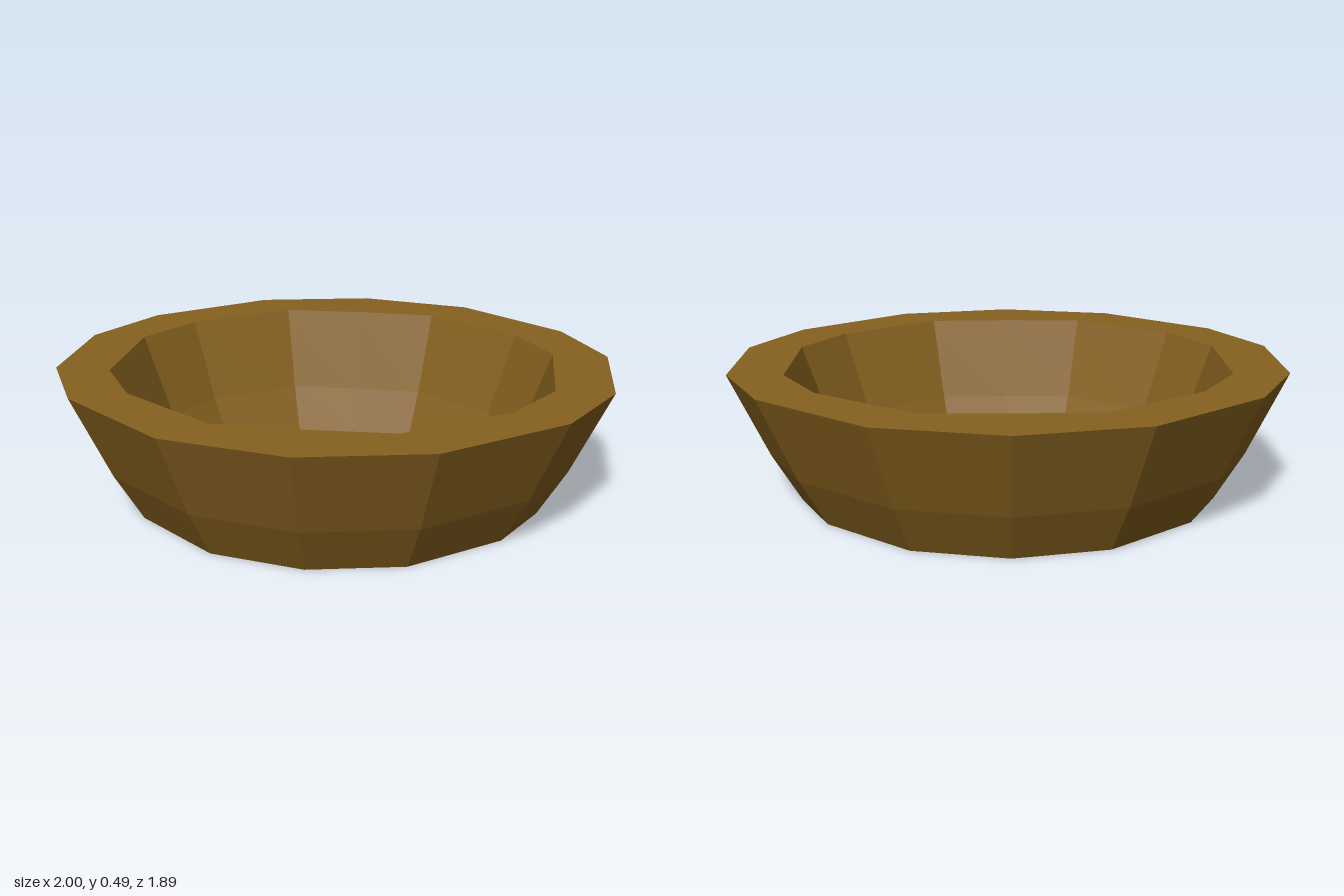
import * as THREE from 'three';

// Right half of each outline (x, z) at rim height, from back to front
const OUTER = [[0, -0.943], [0.44, -0.85], [0.838, -0.533], [1, -0.213]];
const INNER = [[0, -0.708], [0.307, -0.698], [0.655, -0.453], [0.797, -0.215]];

// Mirror a quarter outline into a closed 14-point ring, clockwise from above
function fullOutline(quarter) {
  const front = quarter.map(([x, z]) => [x, -z]).reverse();
  const half = [...quarter, ...front];
  const left = half.slice(1, -1).reverse().map(([x, z]) => [-x, z]);
  return [...half, ...left];
}

function ring(quarter, scale, y) {
  return fullOutline(quarter).map(([x, z]) => [x * scale, y, z * scale]);
}

// Flat-shaded skin through successive rings
function skin(name, rings, material) {
  const positions = [];
  for (let k = 0; k < rings.length - 1; k++) {
    const a = rings[k], b = rings[k + 1];
    for (let i = 0; i < a.length; i++) {
      const j = (i + 1) % a.length;
      for (const p of [a[i], b[i], b[j], a[i], b[j], a[j]]) positions.push(...p);
    }
  }
  const geometry = new THREE.BufferGeometry();
  geometry.setAttribute('position', new THREE.Float32BufferAttribute(positions, 3));
  geometry.computeVertexNormals();
  const mesh = new THREE.Mesh(geometry, material);
  mesh.name = name;
  return mesh;
}

export function createModel() {
  const wood = new THREE.MeshStandardMaterial({ color: 0x86611f, flatShading: true });
  wood.name = 'brown wood';
  const straw = new THREE.MeshStandardMaterial({ color: 0xcfc663, side: THREE.DoubleSide });
  straw.name = 'pale yellow';

  // Levels of the flared wall: [scale, height]
  const levels = [[0.76, 0], [0.862, 0.18], [1, 0.49]];
  const outer = levels.map(([s, y]) => ring(OUTER, s, y));
  const inner = levels.map(([s, y]) => ring(INNER, s, y));

  const bowl = new THREE.Group();
  bowl.name = 'bowl';
  bowl.add(
    skin('outerWall', outer, wood),
    skin('rim', [outer[2], inner[2]], wood),
    skin('innerWall', [...inner].reverse(), wood),
    skin('baseRing', [inner[0], outer[0]], wood)
  );

  // Floor, visible from inside and from below
  const points = inner[0].map(([x, , z]) => new THREE.Vector2(x, -z));
  const floorGeometry = new THREE.ShapeGeometry(new THREE.Shape(points));
  floorGeometry.rotateX(-Math.PI / 2);
  const floor = new THREE.Mesh(floorGeometry, straw);
  floor.name = 'floor';
  bowl.add(floor);

  return bowl;
}
